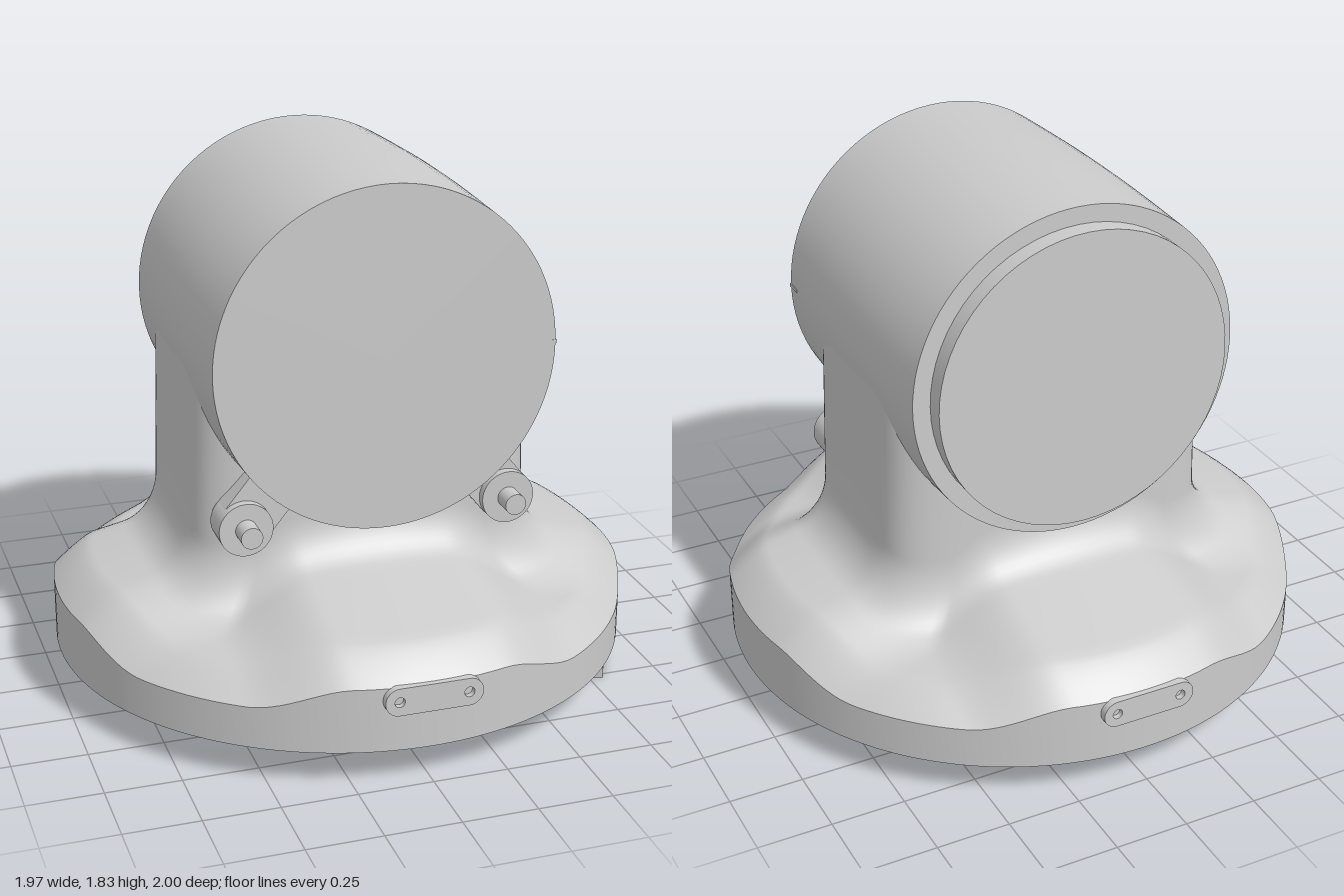
import * as THREE from 'three';
import { toCreasedNormals } from 'three/addons/utils/BufferGeometryUtils.js';

const mat = new THREE.MeshStandardMaterial({ color: 0xcccccc });
const RIM = 0.985, BARREL_Y = 1.245;

function add(group, name, geometry, x = 0, y = 0, z = 0) {
  const mesh = new THREE.Mesh(geometry, mat);
  mesh.name = name;
  mesh.position.set(x, y, z);
  group.add(mesh);
  return mesh;
}

// Height of the flared base: low skirt with four raised lobes and a bevelled edge
function baseHeight(x, z) {
  const r = Math.hypot(x, z);
  const lobe = Math.max(
    1 - THREE.MathUtils.smoothstep(Math.abs(x), 0.25, 0.56),
    1 - THREE.MathUtils.smoothstep(Math.abs(z), 0.22, 0.54));
  const high = 0.53 - 0.26 * (r - 0.5);
  const low = 0.345 + 0.15 * (0.86 - r);
  const bevel = Math.max(0, (r - 0.86) / (RIM - 0.86));
  return THREE.MathUtils.lerp(low, high, lobe) - 0.066 * Math.pow(bevel, 1.35);
}

// Radius of the rounded rectangular column in one direction
function columnRadius(a, hx) {
  const n = 5.5;
  return Math.pow(Math.pow(Math.abs(Math.cos(a)) / hx, n) + Math.pow(Math.abs(Math.sin(a)) / 0.388, n), -1 / n);
}

// Column, fillet, lobed skirt, rim wall and underside as one swept skin
function bodyGeometry() {
  const N = 192, positions = [], index = [];
  let rows = 0;
  for (let i = 0; i <= N; i++) {
    const a = (i / N) * Math.PI * 2, c = Math.cos(a), s = Math.sin(a);
    const foot = columnRadius(a, 0.592);
    const ring = [[columnRadius(a, 0.574), 1.25], [columnRadius(a, 0.582), 0.98]];
    for (let k = 0; k <= 10; k++) {
      const p = (k / 10) * Math.PI / 2;
      const r = foot + 0.12 * (1 - Math.cos(p));
      ring.push([r, baseHeight(r * c, r * s) + 0.15 * (1 - Math.sin(p))]);
    }
    const start = foot + 0.12;
    for (let k = 1; k <= 10; k++) {
      const r = THREE.MathUtils.lerp(start, 0.86, k / 10);
      ring.push([r, baseHeight(r * c, r * s)]);
    }
    for (let k = 1; k <= 6; k++) {
      const r = THREE.MathUtils.lerp(0.86, RIM, k / 6);
      ring.push([r, baseHeight(r * c, r * s)]);
    }
    ring.push([RIM, 0.12], [0, 0.12]);
    rows = ring.length;
    for (const [r, y] of ring) positions.push(r * c, y, r * s);
  }
  for (let i = 0; i < N; i++) {
    for (let k = 0; k < rows - 1; k++) {
      const p = i * rows + k, q = p + rows;
      index.push(p, q, p + 1);
      if (k < rows - 2) index.push(q, q + 1, p + 1);
    }
  }
  const g = new THREE.BufferGeometry();
  g.setAttribute('position', new THREE.Float32BufferAttribute(positions, 3));
  g.setIndex(index);
  return toCreasedNormals(g, 0.6);
}

// Slightly bulged drum lying along z
function barrelGeometry() {
  const pts = [new THREE.Vector2(0, -0.48)];
  for (let k = 0; k <= 12; k++) {
    const t = k / 12;
    pts.push(new THREE.Vector2(0.569 + 0.012 * Math.sin(Math.PI * t), THREE.MathUtils.lerp(-0.48, 0.53, t)));
  }
  pts.push(new THREE.Vector2(0, 0.53));
  return toCreasedNormals(new THREE.LatheGeometry(pts, 96).rotateX(Math.PI / 2), 0.6);
}

function disc(radius, depth) {
  return new THREE.CylinderGeometry(radius, radius, depth, 64).rotateX(Math.PI / 2);
}

// Stadium plate with two screw holes
function plateGeometry() {
  const r = 0.047, h = 0.115;
  const shape = new THREE.Shape();
  shape.absarc(h, 0, r, -Math.PI / 2, Math.PI / 2, false);
  shape.absarc(-h, 0, r, Math.PI / 2, Math.PI * 1.5, false);
  for (const x of [-h, h]) {
    shape.holes.push(new THREE.Path().absarc(x, 0, 0.017, 0, Math.PI * 2, true));
  }
  return new THREE.ExtrudeGeometry(shape, { depth: 0.045, bevelEnabled: false, curveSegments: 16 });
}

export function createModel() {
  const model = new THREE.Group();
  model.name = 'swivelHousing';

  add(model, 'columnAndBase', bodyGeometry());
  add(model, 'bottomDisc', new THREE.CylinderGeometry(0.83, 0.83, 0.03, 96), 0, 0.12, 0);

  // Drum with stepped rear cap and a small index mark
  add(model, 'barrel', barrelGeometry(), 0, BARREL_Y, 0);
  add(model, 'rearCap', disc(0.51, 0.1), 0, BARREL_Y, -0.495);
  add(model, 'indexMark', new THREE.BoxGeometry(0.02, 0.012, 0.06), 0.563, 1.25, 0.501);

  // Lugs with pins under the front of the drum
  for (const side of [-1, 1]) {
    const lug = new THREE.Group();
    lug.name = side > 0 ? 'leftLug' : 'rightLug';
    lug.position.set(side * 0.45, 0.695, 0);
    const tab = add(lug, 'lugTab', new THREE.BoxGeometry(0.18, 0.2, 0.08), -side * 0.064, 0.077, 0.39);
    tab.rotation.z = side * Math.atan2(0.45, 0.55);
    add(lug, 'lugBoss', disc(0.09, 0.11), 0, 0, 0.405);
    add(lug, 'lugPin', disc(0.036, 0.09), 0, 0, 0.485);
    model.add(lug);
  }

  // Screw plates on the front and back of the rim
  for (const turn of [0, Math.PI]) {
    const holder = new THREE.Group();
    holder.name = turn ? 'backPlate' : 'frontPlate';
    holder.rotation.y = turn;
    add(holder, 'screwPlate', plateGeometry(), 0, 0.297, 0.953);
    model.add(holder);
  }

  // Angled stop block below the rim
  const stop = new THREE.Shape([[0.795, -0.53], [0.905, -0.31], [0.83, -0.28], [0.72, -0.5]]
    .map(([x, y]) => new THREE.Vector2(x, y)));
  add(model, 'stopBlock', new THREE.ExtrudeGeometry(stop, { depth: 0.13, bevelEnabled: false }).rotateX(-Math.PI / 2));

  return model;
}
